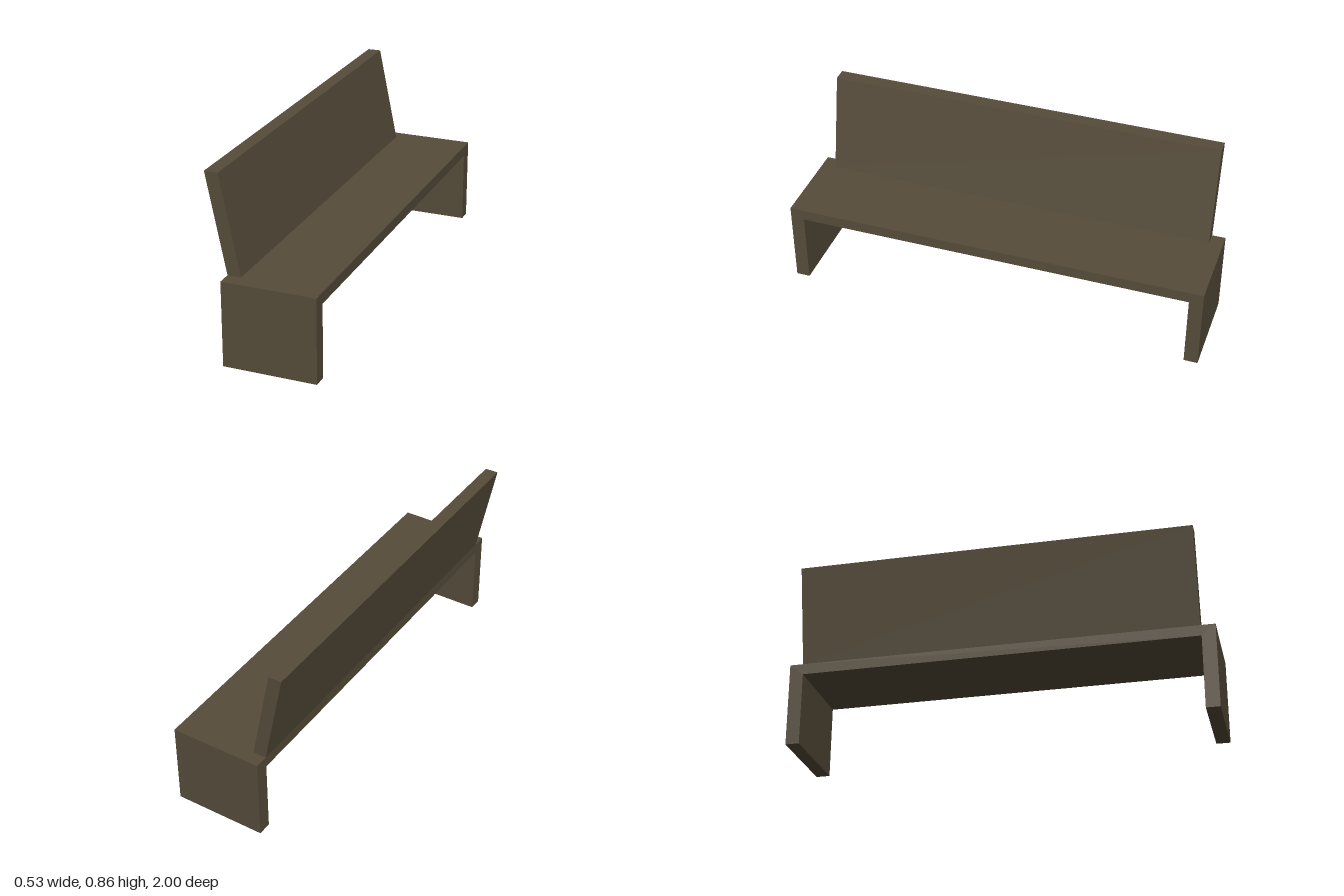
import * as THREE from 'three';

const wood = new THREE.MeshStandardMaterial({ color: 0x564c3a });
wood.name = 'dark wood';

// Extrudes an outline along z and names the resulting part
function slab(name, points, z0, z1) {
  const shape = new THREE.Shape(points.map(([x, y]) => new THREE.Vector2(x, y)));
  const geometry = new THREE.ExtrudeGeometry(shape, { depth: z1 - z0, bevelEnabled: false });
  geometry.translate(0, 0, z0);
  const mesh = new THREE.Mesh(geometry, wood);
  mesh.name = name;
  return mesh;
}

export function createModel() {
  const bench = new THREE.Group();
  bench.name = 'bench';

  const back = -0.172, front = 0.265, seatTop = 0.4, seatBottom = 0.348;
  const legInner = 0.935;

  // Seat and the two end panels form one continuous bridge, swept across the depth
  const base = slab('seatAndLegs', [
    [-1, 0], [-legInner, 0], [-legInner, seatBottom], [legInner, seatBottom],
    [legInner, 0], [1, 0], [1, seatTop], [-1, seatTop],
  ], back, front);
  base.geometry.rotateY(Math.PI / 2);
  bench.add(base);

  // Leaning backrest
  bench.add(slab('backrest', [
    [back, seatTop], [-0.109, seatTop], [-0.203, 0.86], [-0.266, 0.86],
  ], -0.937, 0.932));

  return bench;
}
